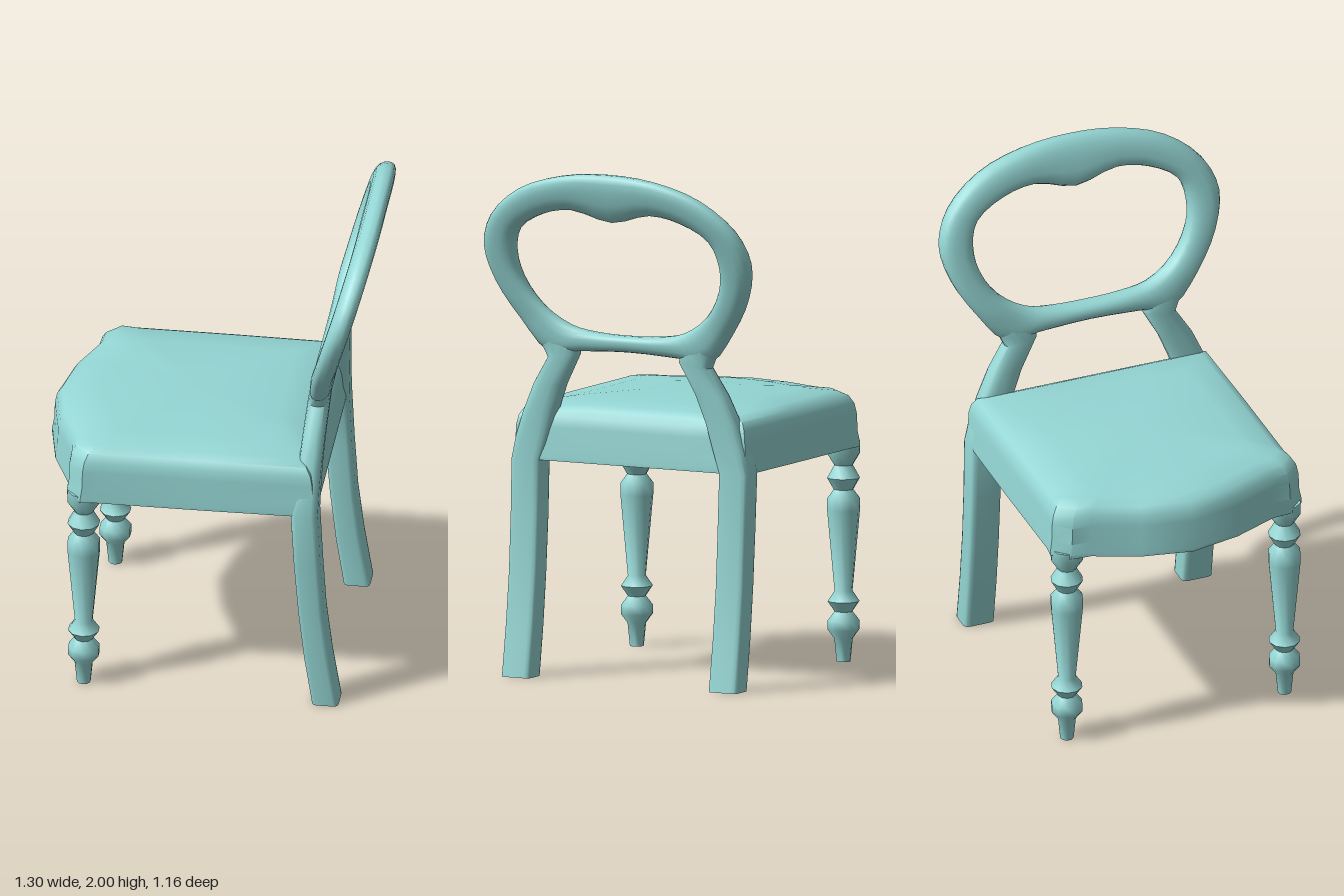
import * as THREE from 'three';
import { toCreasedNormals } from 'three/addons/utils/BufferGeometryUtils.js';

const material = new THREE.MeshStandardMaterial({ color: 0x94d6d4 });
const V = (x, y, z) => new THREE.Vector3(x, y, z);

// Skin a list of equal-length cross-section loops; closed joins last to first, otherwise ends are capped.
function loft(sections, closed, crease) {
  const n = sections[0].length, rows = sections.length;
  const pts = sections.flat(), tris = [];
  for (let i = 0; i < (closed ? rows : rows - 1); i++) {
    for (let j = 0; j < n; j++) {
      const a = i * n + j, b = i * n + (j + 1) % n;
      const k = ((i + 1) % rows) * n;
      const c = k + (j + 1) % n, d = k + j;
      tris.push([a, b, c], [a, c, d]);
    }
  }
  if (!closed) {
    for (const row of [0, rows - 1]) {
      const mid = V(0, 0, 0);
      sections[row].forEach(p => mid.addScaledVector(p, 1 / n));
      const m = pts.push(mid) - 1;
      for (let j = 0; j < n; j++) {
        const a = row * n + j, b = row * n + (j + 1) % n;
        tris.push(row ? [a, b, m] : [b, a, m]);
      }
    }
  }
  // Turn the surface outward by the sign of its volume
  let volume = 0;
  for (const [a, b, c] of tris) volume += pts[a].dot(V(0, 0, 0).crossVectors(pts[b], pts[c]));
  if (volume < 0) tris.forEach(t => t.reverse());
  const g = new THREE.BufferGeometry().setFromPoints(pts);
  g.setIndex(tris.flat());
  return toCreasedNormals(g, crease);
}

// Side profile of the back: x of the centre line at height y
const backLine = [[0, 0.47], [0.25, 0.43], [0.49, 0.405], [0.84, 0.387], [1.05, 0.403],
  [1.24, 0.418], [1.4, 0.444], [1.6, 0.5], [1.87, 0.58], [2, 0.618]];
function backX(y) {
  let i = 1;
  while (i < backLine.length - 1 && y > backLine[i][0]) i++;
  const [y0, x0] = backLine[i - 1], [y1, x1] = backLine[i];
  return x0 + (x1 - x0) * (y - y0) / (y1 - y0);
}

// Rounded section between an outer and an inner edge point (z, y); a low power makes it squarer
function section(oz, oy, iz, iy, depth, power, side = 1) {
  const loop = [], n = 16;
  const soft = v => Math.sign(v) * Math.pow(Math.abs(v), power);
  for (let j = 0; j < n; j++) {
    const a = (j + 0.5) / n * Math.PI * 2;
    const c = soft(Math.cos(a)), s = soft(Math.sin(a));
    const z = (oz + iz) / 2 + (oz - iz) / 2 * c;
    const y = (oy + iy) / 2 + (oy - iy) / 2 * c;
    loop.push(V(backX(y) + depth * s, y, z * side));
  }
  return loop;
}

function add(group, name, geometry) {
  const mesh = new THREE.Mesh(geometry, material);
  mesh.name = name;
  group.add(mesh);
  return mesh;
}

export function createModel() {
  const chair = new THREE.Group();
  chair.name = 'chair';

  // Seat: bowed front, small corner blocks, domed cushion
  const half = [[-0.66, 0], [-0.62, 0.2], [-0.545, 0.38], [-0.54, 0.46], [-0.48, 0.522],
    [-0.42, 0.515], [0, 0.515], [0.43, 0.51], [0.43, 0.25]];
  const outline = [...half, [0.43, 0], ...half.slice(1).reverse().map(([x, z]) => [x, -z])];
  const levels = [[1, 0.84], [1, 0.855], [0.985, 0.9], [0.98, 0.97], [0.965, 1.01],
    [0.93, 1.04], [0.86, 1.06], [0.65, 1.074], [0.3, 1.085]];
  add(chair, 'seat', loft(levels.map(([s, y]) =>
    outline.map(([x, z]) => V(-0.1 + (x + 0.1) * s, y, z * s))), false, 0.7));

  // Turned front legs
  const turning = [[0, 0], [0.027, 0], [0.036, 0.09], [0.062, 0.125], [0.062, 0.16], [0.035, 0.195],
    [0.062, 0.235], [0.035, 0.275], [0.064, 0.59], [0.064, 0.635], [0.038, 0.67],
    [0.064, 0.715], [0.036, 0.765], [0.064, 0.81], [0.064, 0.86], [0, 0.86]];
  const legGeometry = toCreasedNormals(
    new THREE.LatheGeometry(turning.map(([r, y]) => new THREE.Vector2(r, y)), 10), 0.9);

  // Rear posts: leg and back support in one sweep, as outer z, y, inner z, y, half depth, power
  const post = [
    [0.515, 0, 0.39, 0, 0.052, 0.3], [0.515, 0.2, 0.39, 0.2, 0.051, 0.3],
    [0.515, 0.4, 0.39, 0.4, 0.05, 0.3], [0.515, 0.62, 0.39, 0.62, 0.052, 0.3],
    [0.518, 0.84, 0.39, 0.84, 0.053, 0.35], [0.5, 0.93, 0.36, 0.93, 0.048, 0.45],
    [0.468, 1.03, 0.33, 1.03, 0.045, 0.6], [0.42, 1.14, 0.287, 1.14, 0.044, 0.7],
    [0.355, 1.245, 0.22, 1.265, 0.043, 0.75], [0.38, 1.3, 0.235, 1.33, 0.042, 0.75],
    [0.43, 1.37, 0.3, 1.39, 0.036, 0.8]];

  for (const side of [1, -1]) {
    const label = side > 0 ? 'left' : 'right';
    add(chair, label + 'FrontLeg', legGeometry).position.set(-0.475, 0, 0.452 * side);
    add(chair, label + 'RearPost',
      loft(post.map(p => section(...p, side)), false, 0.8));
  }

  // Oval back frame with a shaped crest, as outer z, y, inner z, y
  const frame = [
    [0, 2, 0, 1.805], [0.2, 1.982, 0.17, 1.845], [0.39, 1.92, 0.3, 1.822], [0.53, 1.805, 0.415, 1.755],
    [0.58, 1.68, 0.445, 1.66], [0.55, 1.54, 0.43, 1.56], [0.46, 1.39, 0.36, 1.45],
    [0.35, 1.265, 0.25, 1.378], [0.22, 1.275, 0.14, 1.356], [0, 1.285, 0, 1.35]];
  const ring = [...frame,
    ...frame.slice(1, -1).reverse().map(([a, b, c, d]) => [-a, b, -c, d])];
  const outer = new THREE.CatmullRomCurve3(ring.map(r => V(0, r[1], r[0])), true);
  const inner = new THREE.CatmullRomCurve3(ring.map(r => V(0, r[3], r[2])), true);
  const loops = [], steps = 54;
  for (let i = 0; i < steps; i++) {
    const o = outer.getPoint(i / steps), n = inner.getPoint(i / steps);
    loops.push(section(o.z, o.y, n.z, n.y, 0.043, 0.8));
  }
  add(chair, 'backFrame', loft(loops, true, 1));

  return chair;
}
